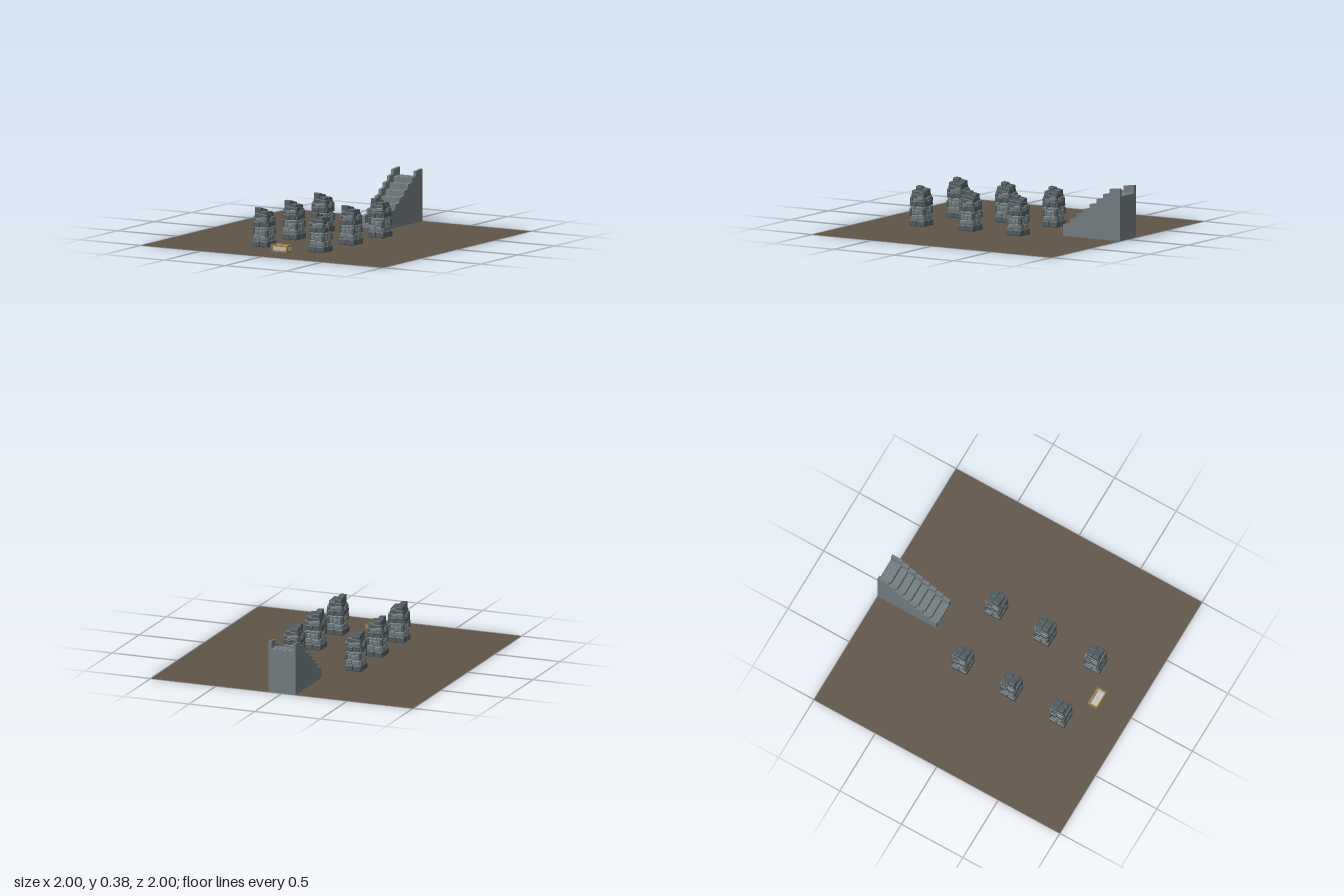
import * as THREE from 'three';
import { RoundedBoxGeometry } from 'three/addons/geometries/RoundedBoxGeometry.js';

const mat = (color, side = THREE.FrontSide) => {
  const m = new THREE.MeshStandardMaterial({ color, flatShading: true, side });
  return m;
};
const STONE = mat(0x707a7d), DARK = mat(0x50595d), GOLD = mat(0x9a7a3a), PALE = mat(0xc4c0ba);
const EARTH = mat(0x5f5347, THREE.DoubleSide);

function add(parent, name, geometry, material, x = 0, y = 0, z = 0) {
  const mesh = new THREE.Mesh(geometry, material);
  mesh.name = name;
  mesh.position.set(x, y, z);
  parent.add(mesh);
  return mesh;
}
const box = (w, h, d) => new THREE.BoxGeometry(w, h, d);
// Stone block with chamfered edges
const block = (w, h, d, r = 0.005) => new RoundedBoxGeometry(w, h, d, 1, r);

// Box whose top face tilts: y rises by sx, sz across the block
function slantedBlock(w, h, d, sx, sz) {
  const g = block(w, h, d, 0.004), p = g.attributes.position;
  for (let i = 0; i < p.count; i++) {
    if (p.getY(i) > 0) p.setY(i, p.getY(i) + sx * p.getX(i) / w + sz * p.getZ(i) / d);
  }
  return g;
}

function createPillar() {
  const pillar = new THREE.Group();
  pillar.name = 'ruinedPillar';
  add(pillar, 'core', box(0.104, 0.215, 0.104), STONE, 0, 0.1095, 0);

  // Four foundation blocks and the broken four-block top
  const tops = [[-1, 1, 0.278], [1, 1, 0.254], [-1, -1, 0.264], [1, -1, 0.25]];
  for (const [sx, sz, top] of tops) {
    add(pillar, 'baseBlock', block(0.063, 0.043, 0.063, 0.006), DARK, sx * 0.0325, 0.0215, sz * 0.0325);
    add(pillar, 'brokenTop', slantedBlock(0.047, top - 0.2, 0.047, -0.003, 0.006), DARK,
      sx * 0.0245, (top + 0.2) / 2 - 0.002, sz * 0.0245);
  }

  // Irregular stones on each face: [x, y, width, height, tilt]
  const stones = [
    [-0.03, 0.066, 0.044, 0.036, 0.04], [0.022, 0.062, 0.054, 0.03, -0.05],
    [-0.034, 0.103, 0.036, 0.034, -0.06], [0.004, 0.098, 0.034, 0.034, 0.1],
    [0.037, 0.1, 0.028, 0.042, 0.03], [-0.015, 0.131, 0.06, 0.018, -0.08],
    [0.036, 0.133, 0.03, 0.02, 0.05], [-0.01, 0.192, 0.034, 0.018, 0.15],
  ];
  for (let f = 0; f < 4; f++) {
    const face = new THREE.Group();
    face.name = 'stoneFace';
    face.rotation.y = f * Math.PI / 2;
    pillar.add(face);
    const flip = f % 2 ? -1 : 1;
    for (const [x, y, w, h, tilt] of stones) {
      add(face, 'faceStone', block(w, h, 0.014), STONE, x * flip, y, 0.0515).rotation.z = tilt * flip;
    }
    // Tilted projecting band, a course over it and the ragged shoulder
    add(face, 'bandLeft', block(0.056, 0.038, 0.022), DARK, -0.028, 0.161, 0.055).rotation.z = -0.1;
    add(face, 'bandRight', block(0.05, 0.04, 0.02), DARK, 0.028, 0.165, 0.054).rotation.z = -0.06;
    add(face, 'upperStone', block(0.05, 0.026, 0.018), STONE, 0.026, 0.2, 0.052).rotation.z = 0.06;
    add(face, 'shoulder', block(0.094, 0.03, 0.016), DARK, 0, 0.217 + 0.004 * flip, 0.046).rotation.z = -0.12;
    // Corner stones
    add(face, 'cornerStone', block(0.022, 0.05, 0.022), DARK, 0.051, 0.1 + 0.006 * f, 0.051);
    add(face, 'cornerStoneUpper', block(0.022, 0.036, 0.022), DARK, 0.049, 0.186, 0.049);
  }
  return pillar;
}

function createStaircase() {
  const stairs = new THREE.Group();
  stairs.name = 'staircase';
  const edges = [-0.525, -0.583, -0.637, -0.692, -0.747, -0.803, -0.858, -0.913, -1];

  // Stepped side walls, drawn with depth along the shape's x
  const outline = new THREE.Shape();
  outline.moveTo(0.525, 0);
  for (let i = 0; i < 8; i++) {
    const y = 0.085 + i * 0.04;
    outline.lineTo(-edges[i], y);
    outline.lineTo(-edges[i + 1], y + 0.01);
  }
  outline.lineTo(1, 0);
  const wall = new THREE.ExtrudeGeometry(outline, { depth: 0.023, bevelEnabled: false });
  wall.rotateY(Math.PI / 2);
  for (const x of [-0.105, 0.08]) add(stairs, 'sideWall', wall, STONE, x, 0, 0);

  // Treads of paving blocks on solid risers, joints alternating
  for (let i = 0; i < 8; i++) {
    const y = 0.035 + i * 0.0407, depth = edges[i] - edges[i + 1], z = (edges[i] + edges[i + 1]) / 2;
    add(stairs, 'riser', box(0.165, y - 0.005, depth), STONE, 0, (y - 0.005) / 2, z);
    const cuts = i % 2 ? [-0.082, -0.041, 0.041, 0.082] : [-0.082, 0, 0.082];
    for (let k = 0; k < cuts.length - 1; k++) {
      add(stairs, 'treadBlock', block(cuts[k + 1] - cuts[k] - 0.002, 0.02, depth - 0.001, 0.002), STONE,
        (cuts[k] + cuts[k + 1]) / 2, y - 0.01, z);
    }
  }
  return stairs;
}

function createTrough() {
  const trough = new THREE.Group();
  trough.name = 'openBox';
  // Upper and lower frames, flared corner posts and pale recessed panels
  for (const [y, w, d] of [[0.045, 0.138, 0.076], [0.005, 0.124, 0.066]]) {
    for (const s of [-1, 1]) {
      add(trough, 'frameLong', box(w, 0.01, 0.008), GOLD, 0, y, s * (d / 2 - 0.004));
      add(trough, 'frameShort', box(0.008, 0.01, d - 0.016), GOLD, s * (w / 2 - 0.004), y, 0);
    }
  }
  for (const s of [-1, 1]) {
    for (const t of [-1, 1]) {
      const post = add(trough, 'cornerPost', box(0.012, 0.042, 0.009), GOLD, s * 0.0605, 0.025, t * 0.031);
      post.rotation.set(t * 0.1, 0, -s * 0.15);
    }
    add(trough, 'longPanel', box(0.116, 0.036, 0.005), PALE, 0, 0.025, s * 0.0285).rotation.x = s * 0.1;
    add(trough, 'shortPanel', box(0.005, 0.036, 0.052), PALE, s * 0.0585, 0.025, 0).rotation.z = -s * 0.15;
  }
  add(trough, 'boxFloor', box(0.112, 0.006, 0.054), PALE, 0, 0.012, 0);
  trough.position.set(-0.002, 0, 0.728);
  return trough;
}

export function createModel() {
  const model = new THREE.Group();
  model.name = 'ruinedCourtyard';
  const ground = new THREE.PlaneGeometry(2, 2);
  ground.rotateX(-Math.PI / 2);
  add(model, 'ground', ground, EARTH);

  // Two rows of three pillars
  const places = [[-0.245, [-0.226, 0.17, 0.57]], [0.226, [-0.226, 0.17, 0.58]]];
  for (const [x, depths] of places) {
    for (const z of depths) {
      const pillar = createPillar();
      pillar.position.set(x, 0, z);
      model.add(pillar);
    }
  }
  model.add(createStaircase(), createTrough());
  return model;
}
